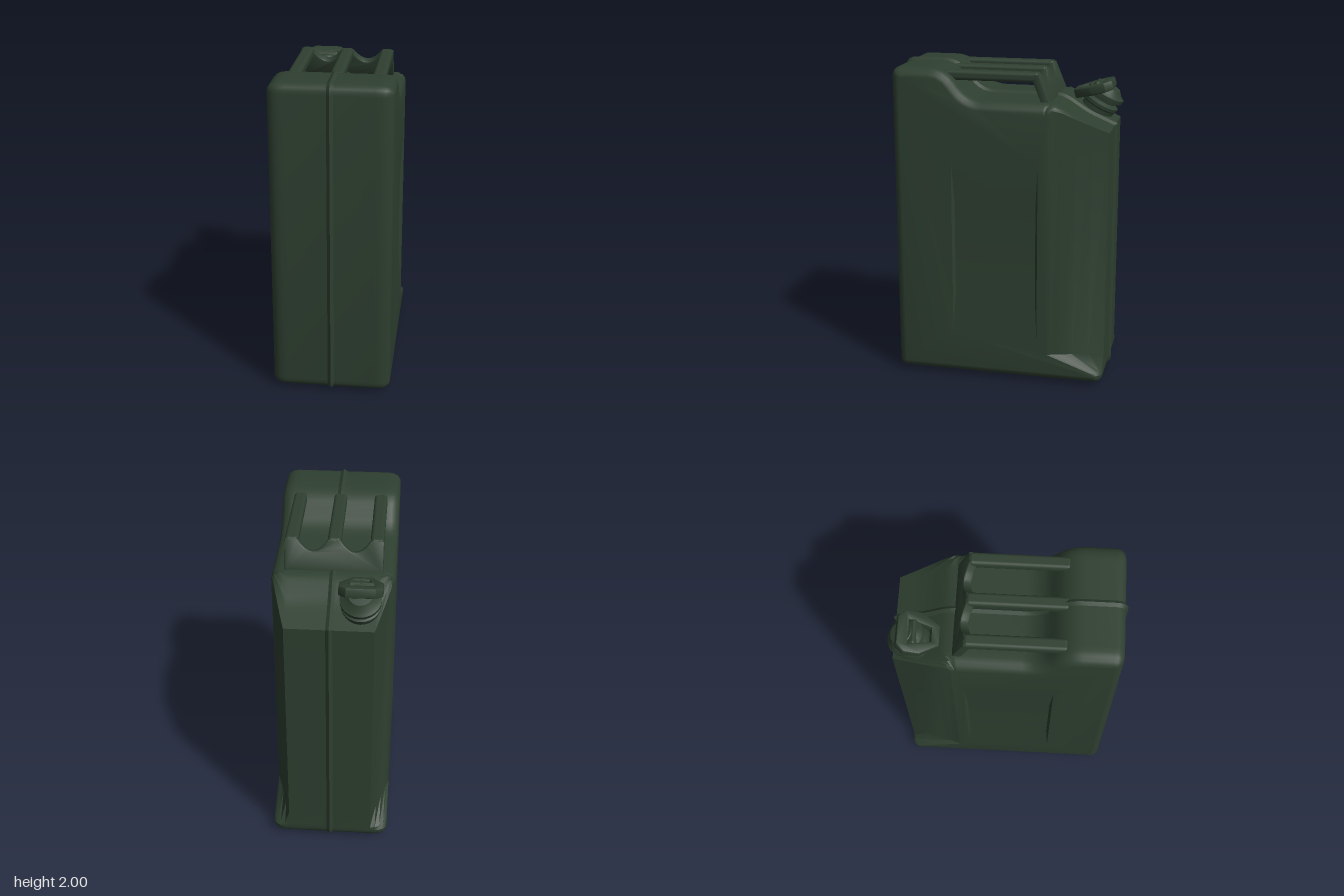
import * as THREE from 'three';
import { toCreasedNormals } from 'three/addons/utils/BufferGeometryUtils.js';
import { RoundedBoxGeometry } from 'three/addons/geometries/RoundedBoxGeometry.js';

const green = new THREE.MeshStandardMaterial({ color: 0x2e3f30 });
green.name = 'dark green paint';

function add(parent, name, geometry, crease = 0.6) {
  const mesh = new THREE.Mesh(crease ? toCreasedNormals(geometry, crease) : geometry, green);
  mesh.name = name;
  parent.add(mesh);
  return mesh;
}

// Side outline as [z, y, corner size], counter-clockwise seen from +x
const corners = [
  [0.665, 0.02, 0.06], [-0.665, 0.02, 0.06], [-0.665, 0.1, 0], [-0.665, 0.2, 0],
  [-0.665, 1.62, 0], [-0.5, 1.69, 0.06], [-0.34, 1.795, 0.06],
  [0.19, 1.795, 0.1], [0.33, 1.985, 0.1], [0.665, 1.985, 0.06],
];

function roundedOutline() {
  const out = [], n = corners.length;
  corners.forEach(([z, y, r], i) => {
    const p = new THREE.Vector2(z, y);
    if (!r) { out.push(p); return; }
    const toward = (c) => new THREE.Vector2(c[0], c[1]).sub(p).setLength(r).add(p);
    const a = toward(corners[(i + n - 1) % n]), b = toward(corners[(i + 1) % n]);
    out.push(...new THREE.QuadraticBezierCurve(a, p, b).getPoints(5));
  });
  return out;
}

// Height of the sloped shoulder at depth z
function shoulderY(z) {
  if (z < -0.5) return 1.62 + (z + 0.665) * (0.07 / 0.165);
  return Math.min(1.795, 1.69 + (z + 0.5) * (0.105 / 0.16));
}

// Outline at station x, inset by d, with the back corners cut away above the foot
function section(outline, x, d) {
  const n = outline.length, pivot = -0.28;
  const cut = Math.max(0, (Math.abs(x) - 0.26) / 0.105);
  return outline.map((p, i) => {
    const t1 = p.clone().sub(outline[(i + n - 1) % n]).normalize();
    const t2 = outline[(i + 1) % n].clone().sub(p).normalize();
    const k = d / (1 + t1.dot(t2));
    let z = p.x + (t1.y + t2.y) * k;
    let y = p.y - (t1.x + t2.x) * k;
    if (z < pivot) {
      const fade = THREE.MathUtils.smoothstep(p.y, 0.08, 0.2);
      const back = -0.665 + 0.345 * cut * fade;
      const z2 = pivot + (z - pivot) * (back - pivot) / (-0.665 - pivot);
      if (p.y > 1.5) y += shoulderY(z2) - shoulderY(z);
      z = z2;
    }
    return new THREE.Vector3(x, y, z);
  });
}

function bodyGeometry() {
  const outline = roundedOutline(), n = outline.length;
  // Half of the stations [x, inset]: seam ridge, flat wall, rounded edge
  const half = [[0.02, 0], [0.26, 0]];
  for (let i = 0; i <= 4; i++) {
    const a = i / 4 * Math.PI / 2;
    half.push([0.29 + 0.075 * Math.sin(a), 0.055 * (1 - Math.cos(a))]);
  }
  const stations = [...half.map(([x, d]) => [-x, d]).reverse(), [0, -0.015], ...half];
  const rings = stations.map(([x, d]) => section(outline, x, d));
  const pos = [];
  const tri = (a, b, c) => [a, b, c].forEach((v) => pos.push(v.x, v.y, v.z));
  for (let i = 0; i < rings.length - 1; i++) {
    for (let j = 0; j < n; j++) {
      const k = (j + 1) % n, A = rings[i], B = rings[i + 1];
      tri(A[j], A[k], B[j]);
      tri(A[k], B[k], B[j]);
    }
  }
  // Side walls, each with a shallow recessed panel
  const rect = (z0, z1, y0, y1, x) => [[z0, y0], [z1, y0], [z1, y1], [z0, y1]]
    .map(([z, y]) => new THREE.Vector3(x, y, z));
  for (const side of [-1, 1]) {
    const facing = (a, b, c) => {
      const normal = b.clone().sub(a).cross(c.clone().sub(a));
      if (normal.x * side < 0) tri(a, c, b); else tri(a, b, c);
    };
    const ring = side < 0 ? rings[0] : rings[rings.length - 1];
    const outer = rect(-0.25, 0.29, 0.3, 1.42, side * 0.365);
    const inner = rect(-0.235, 0.275, 0.57, 1.15, side * 0.347);
    const flat = (list) => list.map((v) => new THREE.Vector2(v.z, v.y));
    const all = [...ring, ...outer];
    for (const [a, b, c] of THREE.ShapeUtils.triangulateShape(flat(ring), [flat(outer)])) {
      facing(all[a], all[b], all[c]);
    }
    for (let j = 0; j < 4; j++) {
      const k = (j + 1) % 4;
      facing(outer[j], outer[k], inner[j]);
      facing(outer[k], inner[k], inner[j]);
    }
    facing(inner[0], inner[1], inner[2]);
    facing(inner[0], inner[2], inner[3]);
  }
  const g = new THREE.BufferGeometry();
  g.setAttribute('position', new THREE.Float32BufferAttribute(pos, 3));
  return g;
}

function makeHandle() {
  const handle = new THREE.Group();
  handle.name = 'carryHandle';
  for (const x of [-0.25, 0, 0.25]) {
    add(handle, 'handleBar', new RoundedBoxGeometry(0.08, 0.062, 0.59, 3, 0.022), 0)
      .position.set(x, 1.939, 0.055);
  }
  // Sloping rear plate with a dip between each pair of bars
  const s = new THREE.Shape();
  s.moveTo(-0.28, 0);
  s.lineTo(0.28, 0);
  s.lineTo(0.28, 0.17);
  s.lineTo(0.22, 0.17);
  s.quadraticCurveTo(0.125, 0.03, 0.03, 0.17);
  s.lineTo(-0.03, 0.17);
  s.quadraticCurveTo(-0.125, 0.03, -0.22, 0.17);
  s.lineTo(-0.28, 0.17);
  s.closePath();
  const g = new THREE.ExtrudeGeometry(s, {
    depth: 0.034, bevelThickness: 0.01, bevelSize: 0.01, bevelSegments: 2, curveSegments: 8,
  });
  g.translate(0, 0, -0.017);
  const plate = add(handle, 'handleRearPlate', g);
  plate.position.set(0, 1.788, -0.282);
  plate.rotation.x = 0.39;
  return handle;
}

function makeSpout() {
  const spout = new THREE.Group();
  spout.name = 'spout';
  // Ringed neck standing square to the shoulder
  const profile = [
    [0.105, -0.06], [0.105, 0.03], [0.115, 0.04], [0.115, 0.06], [0.085, 0.075],
    [0.085, 0.09], [0.12, 0.1], [0.12, 0.125], [0.095, 0.14], [0.07, 0.17], [0, 0.175],
  ].map(([r, y]) => new THREE.Vector2(r, y));
  const neck = add(spout, 'neck', new THREE.LatheGeometry(profile, 24));
  neck.position.set(-0.175, 1.68, -0.525);
  neck.rotation.x = -0.5;
  // Open locking frame above the neck
  const shape = new THREE.Shape([
    [-0.055, -0.115], [0.055, -0.115], [0.117, -0.01], [0.117, 0.075],
    [0.08, 0.115], [-0.08, 0.115], [-0.117, 0.075], [-0.117, -0.01],
  ].map(([x, y]) => new THREE.Vector2(x, y)));
  shape.holes.push(new THREE.Path([
    [-0.05, -0.085], [-0.085, 0.065], [0.085, 0.065], [0.05, -0.085],
  ].map(([x, y]) => new THREE.Vector2(x, y))));
  const g = new THREE.ExtrudeGeometry(shape, {
    depth: 0.036, bevelThickness: 0.012, bevelSize: 0.01, bevelSegments: 2,
  });
  g.translate(0, 0, -0.018);
  g.rotateX(-Math.PI / 2);
  const frame = add(spout, 'lockingFrame', g);
  frame.position.set(-0.175, 1.815, -0.51);
  frame.rotation.x = 0.28;
  // Small lever tab joining the frame to the cap
  const tab = add(spout, 'leverTab', new RoundedBoxGeometry(0.15, 0.05, 0.05, 2, 0.015), 0);
  tab.position.set(-0.175, 1.835, -0.535);
  tab.rotation.x = -0.5;
  return spout;
}

export function createModel() {
  const model = new THREE.Group();
  model.name = 'fuelCan';
  add(model, 'body', bodyGeometry(), 0.55);
  model.add(makeHandle(), makeSpout());
  return model;
}
